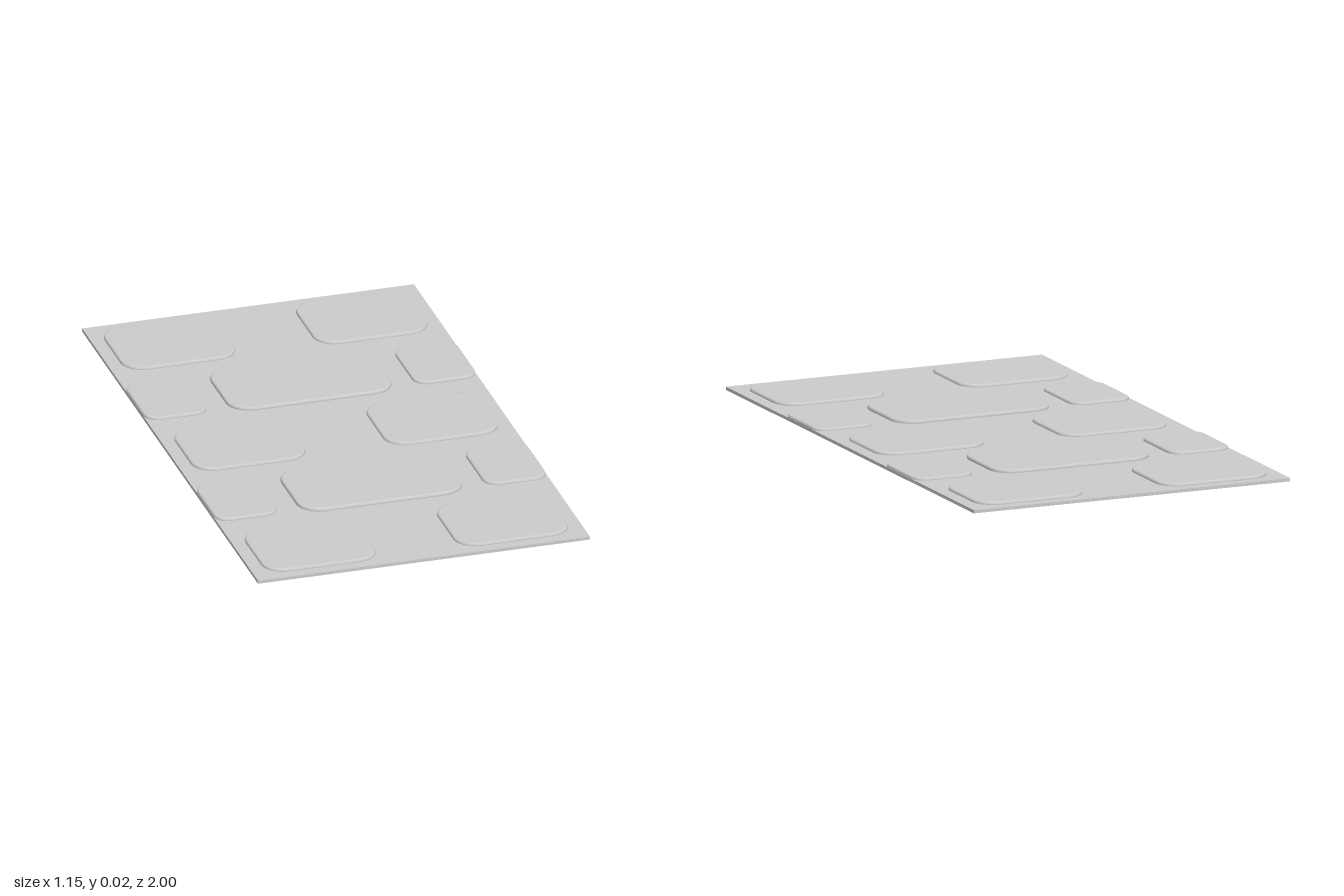
import * as THREE from 'three';

const material = new THREE.MeshStandardMaterial({ color: 0xcccccc });
const BEVEL = 0.007;

// Rounded pad with chamfered rim; its lower rim is sunk into the base sheet
function makePad(name, x, z, width, depth, radius, top) {
  const w = width / 2 - BEVEL, d = depth / 2 - BEVEL, r = radius - BEVEL;
  const shape = new THREE.Shape();
  shape.absarc(w - r, d - r, r, 0, Math.PI / 2);
  shape.absarc(-w + r, d - r, r, Math.PI / 2, Math.PI);
  shape.absarc(-w + r, -d + r, r, Math.PI, Math.PI * 1.5);
  shape.absarc(w - r, -d + r, r, Math.PI * 1.5, Math.PI * 2);
  const bottom = 0.003;
  const geometry = new THREE.ExtrudeGeometry(shape, {
    depth: top - bottom - 2 * BEVEL,
    bevelThickness: BEVEL,
    bevelSize: BEVEL,
    bevelSegments: 2,
    curveSegments: 8,
  });
  geometry.rotateX(-Math.PI / 2);
  const pad = new THREE.Mesh(geometry, material);
  pad.name = name;
  pad.position.set(x, bottom + BEVEL, z);
  return pad;
}

export function createModel() {
  const model = new THREE.Group();
  model.name = 'paddedSheet';

  // Thin base sheet
  const base = new THREE.Mesh(new THREE.BoxGeometry(1.15, 0.011, 2), material);
  base.name = 'baseSheet';
  base.position.y = 0.0055;
  model.add(base);

  // Rows of paired medium pads
  for (const z of [-0.8, 0, 0.8]) {
    for (const side of [-1, 1]) {
      model.add(makePad('mediumPad', side * 0.333, z, 0.394, 0.325, 0.075, 0.021));
    }
  }

  // Rows with a wide centre pad and small pads flush with the edges
  for (const z of [-0.4, 0.4]) {
    model.add(makePad('widePad', 0, z, 0.57, 0.325, 0.08, 0.023));
    for (const side of [-1, 1]) {
      model.add(makePad('smallEdgePad', side * 0.466, z, 0.217, 0.28, 0.05, 0.021));
    }
  }
  return model;
}
